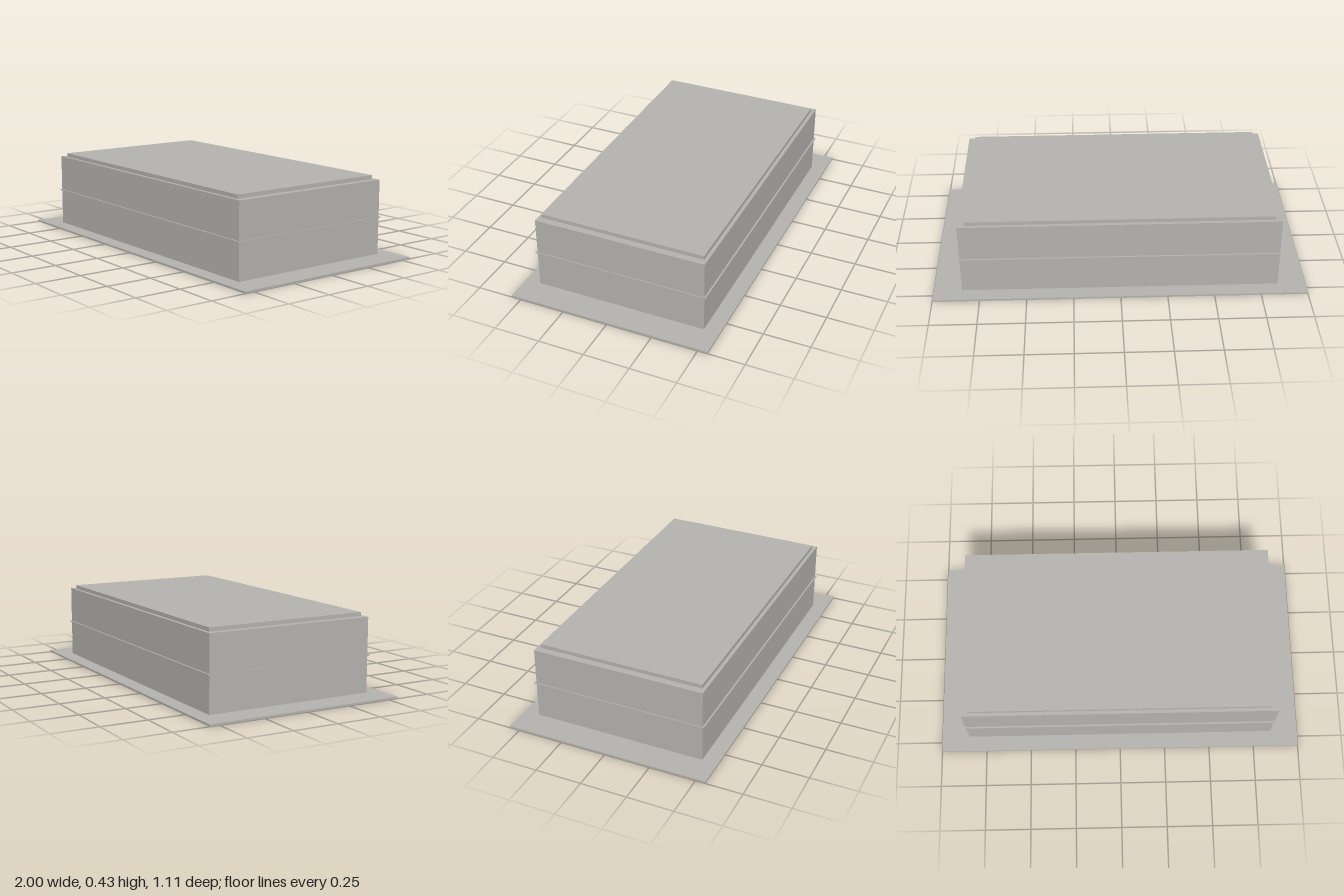
import * as THREE from 'three';

export function createModel() {
  const model = new THREE.Group();
  model.name = 'building';

  const stone = new THREE.MeshStandardMaterial({ color: 0xb4b2ae });
  stone.name = 'warm grey';

  // Box from its half width, half depth, bottom and top
  const slab = (name, halfX, halfZ, bottom, top) => {
    const mesh = new THREE.Mesh(
      new THREE.BoxGeometry(halfX * 2, top - bottom, halfZ * 2), stone);
    mesh.position.y = (bottom + top) / 2;
    mesh.name = name;
    model.add(mesh);
  };

  slab('groundSlab', 1, 0.554, 0, 0.0105);
  slab('mainBlock', 0.848, 0.47, 0.0105, 0.411);
  // Thin ledge between the two storeys
  slab('floorBand', 0.853, 0.479, 0.2065, 0.2125);
  // Raised roof, set back from the walls
  slab('roofSlab', 0.811, 0.451, 0.411, 0.432);

  return model;
}
